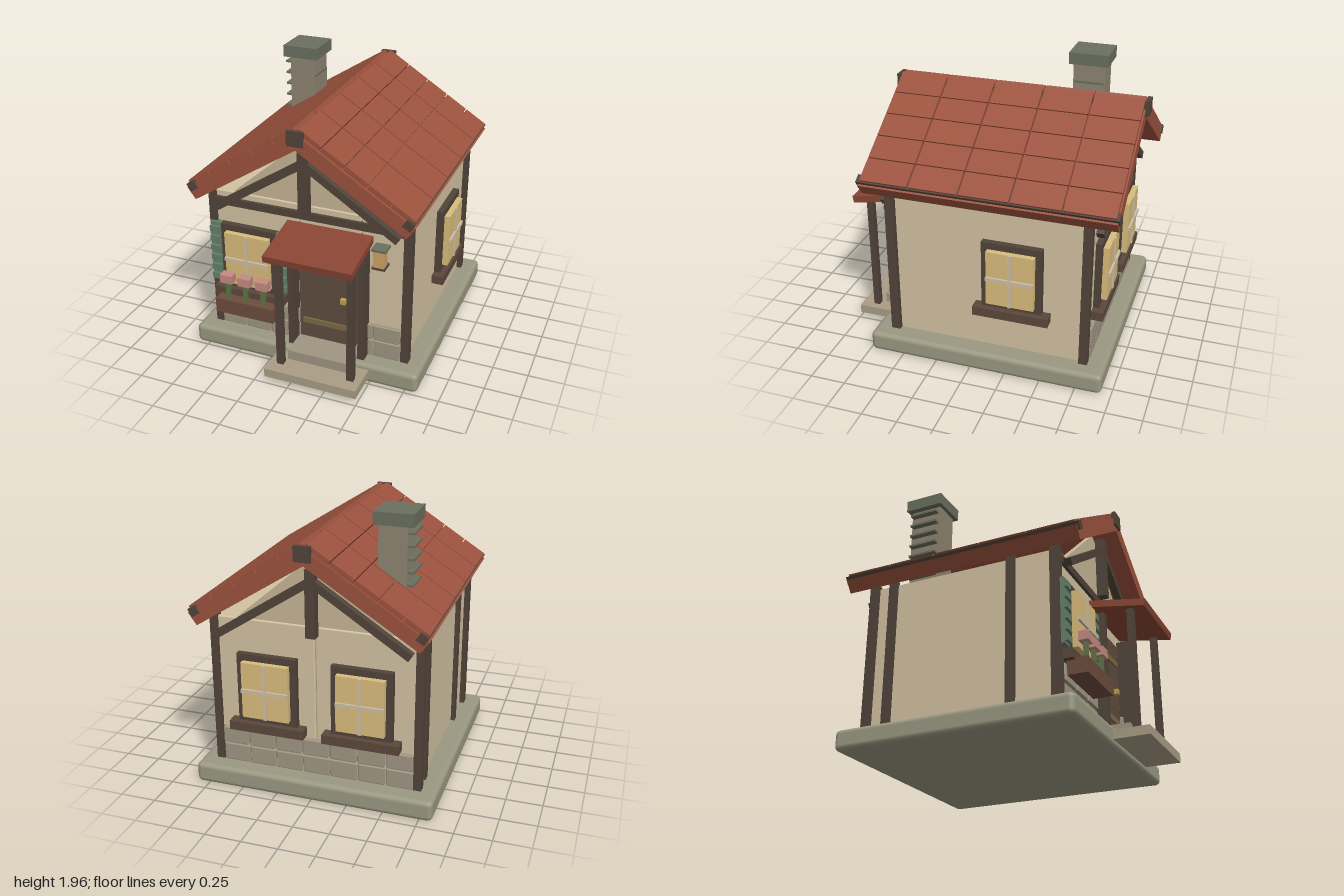
import * as THREE from 'three';
import { RoundedBoxGeometry } from 'three/addons/geometries/RoundedBoxGeometry.js';

const COLORS = {
  wall: 0xd3c2a2, gable: 0xc6b695, timber: 0x50443a, roof: 0x9c523d, porchRoof: 0x8a4634,
  base: 0x9a9881, stone: 0x9f9582, step: 0xa99d86, door: 0x5f4d3d, sill: 0x5c483b,
  glass: 0xdabd7c, bar: 0xcfc0a6, strap: 0x7c6a45, brass: 0xc0a050, shutter: 0x65806a,
  planter: 0x6d4d3e, stem: 0x5f7448, petal: 0xc48a80, chimney: 0x8e8571, cap: 0x6b705e, lamp: 0xd0a366,
};
const mats = {};
const mat = (c) => (mats[c] ??= new THREE.MeshStandardMaterial({ color: COLORS[c] }));

function add(parent, name, color, geo, x = 0, y = 0, z = 0) {
  const mesh = new THREE.Mesh(geo, mat(color));
  mesh.name = name;
  mesh.position.set(x, y, z);
  parent.add(mesh);
  return mesh;
}

// Box from its limits on each axis, with an optional edge radius
function box(parent, name, color, [x0, x1], [y0, y1], [z0, z1], r = 0) {
  const s = [x1 - x0, y1 - y0, z1 - z0];
  const geo = r ? new RoundedBoxGeometry(...s, 2, r) : new THREE.BoxGeometry(...s);
  return add(parent, name, color, geo, (x0 + x1) / 2, (y0 + y1) / 2, (z0 + z1) / 2);
}

// Prism along z from a polygon of x, y points
function prism(parent, name, color, pts, z0, z1) {
  const shape = new THREE.Shape(pts.map((p) => new THREE.Vector2(...p)));
  const geo = new THREE.ExtrudeGeometry(shape, { depth: z1 - z0, bevelEnabled: false });
  return add(parent, name, color, geo, 0, 0, z0);
}

function group(parent, name, x = 0, y = 0, z = 0, ry = 0) {
  const g = new THREE.Group();
  g.name = name;
  g.position.set(x, y, z);
  g.rotation.y = ry;
  parent.add(g);
  return g;
}

// Window facing +z with its wall face at z = 0
function makeWindow(parent, name, x, z, ry) {
  const w = group(parent, name, x, 0, z, ry);
  for (const s of [-1, 1]) {
    box(w, 'frameSide', 'timber', s < 0 ? [-0.21, -0.165] : [0.165, 0.21], [0.48, 0.975], [-0.01, 0.045]);
  }
  box(w, 'frameTop', 'timber', [-0.165, 0.165], [0.928, 0.975], [-0.01, 0.045]);
  box(w, 'frameBottom', 'timber', [-0.165, 0.165], [0.48, 0.53], [-0.01, 0.045]);
  box(w, 'glass', 'glass', [-0.165, 0.165], [0.53, 0.928], [0, 0.085]);
  box(w, 'verticalBar', 'bar', [-0.012, 0.012], [0.53, 0.928], [0.08, 0.095]);
  box(w, 'crossBar', 'bar', [-0.165, 0.165], [0.715, 0.742], [0.08, 0.1]);
  box(w, 'sill', 'sill', [-0.265, 0.265], [0.42, 0.485], [-0.01, 0.085]);
}

// Two courses of stone along a wall, leaving out the span of the doorway
function stoneCourse(parent, z0, z1, gap) {
  const g = group(parent, 'stoneCourse');
  for (let row = 0; row < 2; row++) {
    const y = row ? [0.283, 0.4] : [0.145, 0.272];
    const proud = row * 0.008 * Math.sign(z0 + z1);
    for (let i = 0; i < 7; i++) {
      const x0 = -0.68 + i * 0.1943, x1 = x0 + 0.186;
      if (!gap) { box(g, 'stone', 'stone', [x0, x1], y, [z0 + proud, z1 + proud], 0.008); continue; }
      for (const [a, b] of [[x0, Math.min(x1, gap[0])], [Math.max(x0, gap[1]), x1]]) {
        if (b - a > 0.03) box(g, 'stone', 'stone', [a, b], y, [z0 + proud, z1 + proud], 0.008);
      }
    }
  }
}

// King post and two braces under a gable
function truss(parent, z0, z1) {
  const g = group(parent, 'gableTruss');
  box(g, 'kingPost', 'timber', [-0.033, 0.033], [1.16, 1.62], [z0, z1]);
  for (const s of [-1, 1]) {
    const brace = add(g, 'brace', 'timber', new THREE.BoxGeometry(0.78, 0.052, (z1 - z0) * 0.8),
      s * 0.33, 1.322, (z0 + z1) / 2);
    brace.rotation.z = -s * 0.58;
  }
}

export function createModel() {
  const house = new THREE.Group();
  house.name = 'cottage';

  // Foundation, walls and gables
  box(house, 'foundation', 'base', [-0.84, 0.84], [0, 0.145], [-0.935, 0.74], 0.035);
  box(house, 'wallCore', 'wall', [-0.7, 0.7], [0.14, 1.2], [-0.765, 0.57]);
  box(house, 'frontWallLeft', 'wall', [-0.69, -0.063], [0.14, 1.21], [0.56, 0.6], 0.01);
  box(house, 'frontWallRight', 'wall', [0.383, 0.69], [0.14, 1.21], [0.56, 0.6], 0.01);
  box(house, 'frontWallLintel', 'wall', [-0.06, 0.38], [0.935, 1.21], [0.56, 0.6], 0.01);
  for (const s of [-1, 1]) {
    box(house, 'backWall', 'wall', s < 0 ? [-0.69, -0.002] : [0.002, 0.69], [0.14, 1.21], [-0.792, -0.755], 0.01);
  }
  for (const z of [0.55, -0.78]) {
    prism(house, 'gable', 'gable', [[-0.56, 1.2], [0.56, 1.2], [0, 1.685]], z, z + 0.04);
  }
  stoneCourse(house, 0.58, 0.62, [-0.065, 0.385]);
  stoneCourse(house, -0.813, -0.77);

  // Timber frame
  for (const s of [-1, 1]) {
    for (const z of [[0.555, 0.62], [-0.81, -0.75]]) {
      box(house, 'cornerPost', 'timber', s < 0 ? [-0.735, -0.68] : [0.68, 0.735], [0.145, 1.225], z);
    }
  }
  for (const z of [-0.63, 0.27]) {
    box(house, 'sidePost', 'timber', [-0.728, -0.69], [0.145, 1.225], [z - 0.03, z + 0.03]);
  }
  box(house, 'tieBeam', 'timber', [-0.68, 0.68], [1.11, 1.165], [0.58, 0.622]);
  truss(house, 0.62, 0.685);
  truss(house, -0.875, -0.81);

  // Roof deck, beams and rows of tiles
  const roof = group(house, 'roof');
  prism(roof, 'roofDeck', 'roof',
    [[0, 1.79], [-0.8, 1.28], [-0.742, 1.2], [0, 1.675], [0.742, 1.2], [0.8, 1.28]], -0.975, 0.775);
  box(roof, 'ridgeBeam', 'timber', [-0.055, 0.055], [1.7, 1.79], [-0.985, 0.78]);
  for (const z of [[-1, -0.97], [0.765, 0.79]]) {
    box(roof, 'ridgeEnd', 'timber', [-0.055, 0.055], [1.705, 1.808], z);
  }
  const pitch = Math.atan(0.637), sin = Math.sin(pitch), cos = Math.cos(pitch);
  for (const s of [-1, 1]) {
    const eave = add(roof, 'eaveBeam', 'timber', new THREE.BoxGeometry(0.062, 0.06, 1.772), s * 0.757, 1.298, -0.099);
    eave.rotation.z = -s * pitch;
    for (let row = 0; row < 5; row++) {
      const d = 0.09 + row * 0.1855;
      for (let col = 0; col < 5; col++) {
        const tile = add(roof, 'tile', 'roof', new THREE.BoxGeometry(0.178, 0.04, 0.335),
          s * (d * cos + 0.02 * -sin + 0.021), 1.83 - d * sin - 0.02 * cos - 0.012, -0.797 + col * 0.347);
        tile.rotation.z = -s * pitch;
      }
    }
  }

  // Chimney with thin projecting courses
  const chimney = group(house, 'chimney');
  box(chimney, 'shaft', 'chimney', [-0.555, -0.365], [1.22, 1.88], [-0.61, -0.38]);
  box(chimney, 'chimneyCap', 'cap', [-0.6, -0.335], [1.875, 1.96], [-0.635, -0.352]);
  for (let i = 0; i < 7; i++) {
    const y = 1.31 + i * 0.085;
    box(chimney, 'course', 'cap', [-0.598, -0.55], [y, y + 0.015], [-0.6, -0.39]);
    if (i % 2) box(chimney, 'course', 'cap', [-0.37, -0.357], [y, y + 0.015], [-0.6, -0.39]);
  }

  // Windows
  makeWindow(house, 'frontWindow', -0.43, 0.6, 0);
  makeWindow(house, 'sideWindow', 0.7, -0.277, Math.PI / 2);
  for (const x of [-0.33, 0.33]) makeWindow(house, 'backWindow', x, -0.79, Math.PI);

  // Shutters with slats
  for (const x of [-0.68, -0.18]) {
    const shutter = group(house, 'shutter', x, 0, 0);
    box(shutter, 'panel', 'shutter', [-0.041, 0.041], [0.515, 0.975], [0.6, 0.645]);
    for (let i = 0; i < 6; i++) {
      const y = 0.53 + i * 0.075;
      box(shutter, 'slat', 'shutter', [-0.037, 0.037], [y, y + 0.045], [0.64, 0.665]);
    }
  }

  // Flower box
  const planter = group(house, 'flowerBox');
  box(planter, 'planter', 'planter', [-0.65, -0.205], [0.325, 0.435], [0.62, 0.765]);
  for (const x of [-0.565, -0.43, -0.295]) {
    box(planter, 'stem', 'stem', [x - 0.014, x + 0.014], [0.43, 0.57], [0.71, 0.738]);
    box(planter, 'flower', 'petal', [x - 0.045, x + 0.045], [0.565, 0.628], [0.69, 0.755]);
  }

  // Door
  const door = group(house, 'door');
  box(door, 'doorLeaf', 'door', [-0.063, 0.35], [0.175, 0.925], [0.565, 0.615]);
  for (const y of [0.3, 0.745]) box(door, 'strap', 'strap', [-0.035, 0.315], [y, y + 0.04], [0.61, 0.628]);
  box(door, 'knob', 'brass', [0.248, 0.285], [0.523, 0.56], [0.61, 0.645]);

  // Porch
  const porch = group(house, 'porch');
  box(porch, 'lowerStep', 'step', [-0.175, 0.495], [0.045, 0.108], [0.6, 0.988]);
  box(porch, 'upperStep', 'stone', [-0.07, 0.39], [0.105, 0.18], [0.58, 0.825]);
  for (const x of [[-0.12, -0.072], [0.395, 0.443]]) {
    box(porch, 'porchPost', 'timber', x, [0.105, 0.97], [0.855, 0.9]);
    box(porch, 'doorPost', 'timber', x, [0.12, 0.98], [0.6, 0.695]);
  }
  const canopy = add(porch, 'porchRoof', 'porchRoof', new THREE.BoxGeometry(0.615, 0.05, 0.415), 0.158, 1.018, 0.79);
  canopy.rotation.x = 0.17;

  // Lantern
  const lantern = group(house, 'lantern', 0.535, 0, 0.655);
  box(lantern, 'lanternCap', 'cap', [-0.05, 0.05], [1.018, 1.035], [-0.055, 0.045]);
  box(lantern, 'lanternGlass', 'lamp', [-0.037, 0.037], [0.9, 1.02], [-0.035, 0.038]);
  box(lantern, 'lanternBase', 'timber', [-0.045, 0.045], [0.885, 0.9], [-0.055, 0.042]);

  return house;
}
